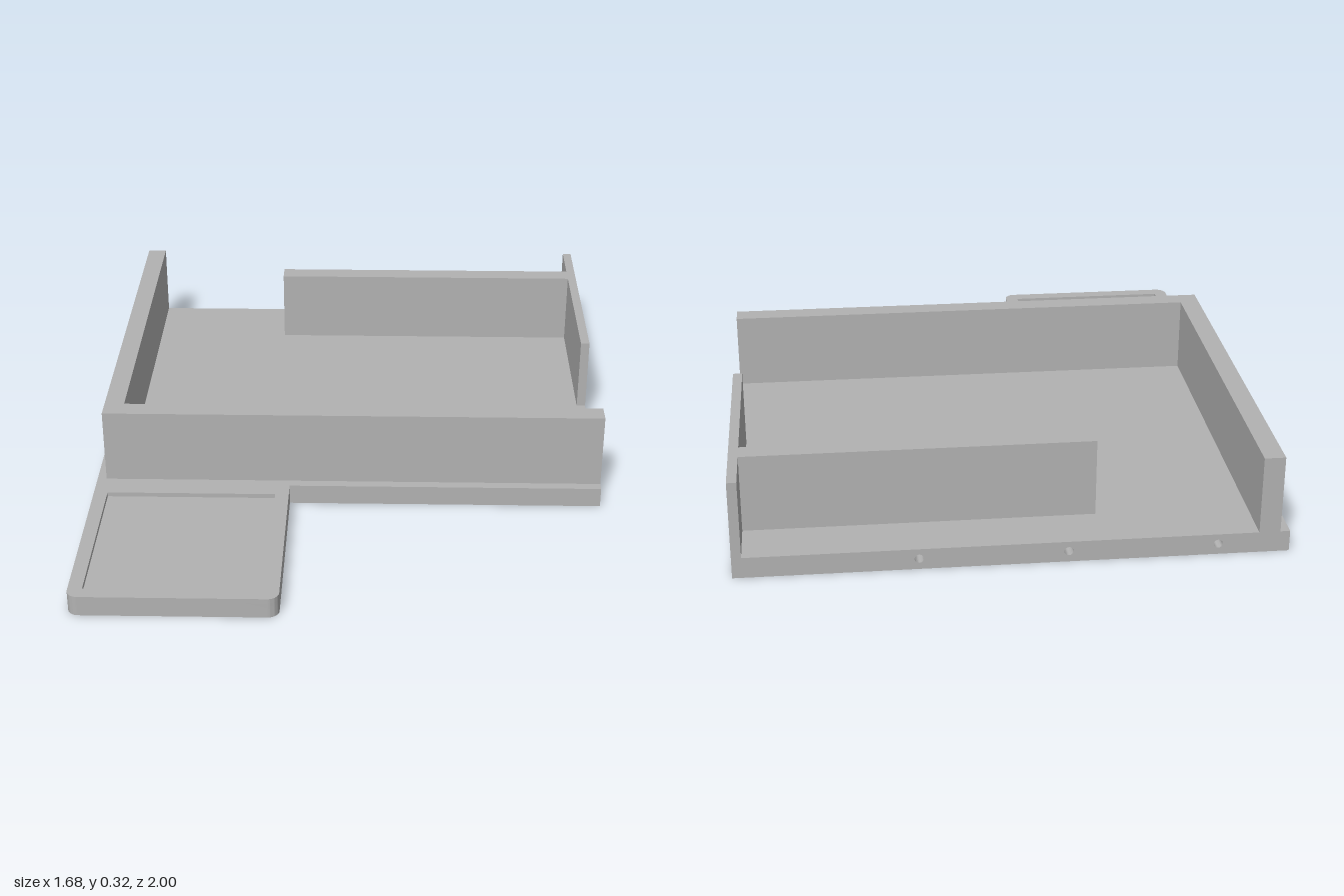
import * as THREE from 'three';
import { toCreasedNormals } from 'three/addons/utils/BufferGeometryUtils.js';

const BASE = 0.067;    // base plate thickness
const TOP = 0.317;     // top of the walls
const RECESS = 0.015;  // depth of the tab's recess
const DRILL = 0.08;    // depth of the edge holes
const HOLE_R = 0.014;
const HOLE_Y = 0.035;

const grey = new THREE.MeshStandardMaterial({ color: 0xb2b2b2 });
grey.name = 'grey';

function addMesh(group, name, geometry) {
  const mesh = new THREE.Mesh(toCreasedNormals(geometry, 0.6), grey);
  mesh.name = name;
  group.add(mesh);
  return mesh;
}

const extrude = (shape, depth) =>
  new THREE.ExtrudeGeometry(shape, { depth, bevelEnabled: false, curveSegments: 8 });

// Plan outline of [x, z] points, raised from y0 to y1
const polygon = (points) => new THREE.Shape(points.map(([x, z]) => new THREE.Vector2(x, -z)));
const raise = (shape, y0, y1) => extrude(shape, y1 - y0).rotateX(-Math.PI / 2).translate(0, y0, 0);

// Base plan with a round-cornered tab, leaving room for the drilled edges
function basePlan() {
  const r = 0.035, right = 0.84 - DRILL, back = -1 + DRILL;
  const s = new THREE.Shape();
  s.moveTo(-0.84, -back);
  s.lineTo(-0.84, -1 + r);
  s.absarc(-0.84 + r, -1 + r, r, Math.PI, Math.PI * 1.5, false);
  s.lineTo(-0.195 - r, -1);
  s.absarc(-0.195 - r, -1 + r, r, -Math.PI / 2, 0, false);
  s.lineTo(-0.195, -0.345);
  s.lineTo(right, -0.345);
  s.lineTo(right, -back);
  s.closePath();
  return s;
}

// Edge strip with a row of blind holes, running from u0 to u1
function drilledStrip(u0, u1, holes) {
  const s = new THREE.Shape();
  s.moveTo(u0, 0);
  s.lineTo(u1, 0);
  s.lineTo(u1, BASE);
  s.lineTo(u0, BASE);
  s.closePath();
  for (const u of holes) {
    s.holes.push(new THREE.Path().absarc(u, HOLE_Y, HOLE_R, 0, Math.PI * 2, true));
  }
  return extrude(s, DRILL);
}

export function createModel() {
  const model = new THREE.Group();
  model.name = 'tray';

  // Base plate in two layers, the upper one open over the tab's recess
  const base = new THREE.Group();
  base.name = 'base';
  model.add(base);
  addMesh(base, 'baseLower', raise(basePlan(), 0, BASE - RECESS));
  const upper = basePlan();
  upper.holes.push(polygon([[-0.795, 0.4], [-0.24, 0.4], [-0.24, 0.955], [-0.795, 0.955]]));
  addMesh(base, 'baseUpper', raise(upper, BASE - RECESS, BASE));

  // Drilled back and side edges
  addMesh(base, 'backEdge',
    drilledStrip(-0.84, 0.84 - DRILL, [-0.62, -0.165, 0.285]).translate(0, 0, -1));
  addMesh(base, 'sideEdge',
    drilledStrip(-0.345, 1, [-0.13, 0.32, 0.77]).rotateY(Math.PI / 2).translate(0.84 - DRILL, 0, 0));

  // Long wall and front wall, joined at the corner
  addMesh(model, 'cornerWall', raise(polygon([
    [-0.81, -1], [-0.81, 0.313], [0.84, 0.313], [0.84, 0.245], [-0.745, 0.245], [-0.745, -1],
  ]), BASE, TOP));

  // Thin side wall with the inner divider
  addMesh(model, 'sideWallAndDivider', raise(polygon([
    [0.84, -1], [0.81, -1], [0.81, -0.835], [-0.27, -0.835],
    [-0.27, -0.77], [0.81, -0.77], [0.81, -0.227], [0.84, -0.227],
  ]), BASE, TOP));

  return model;
}
